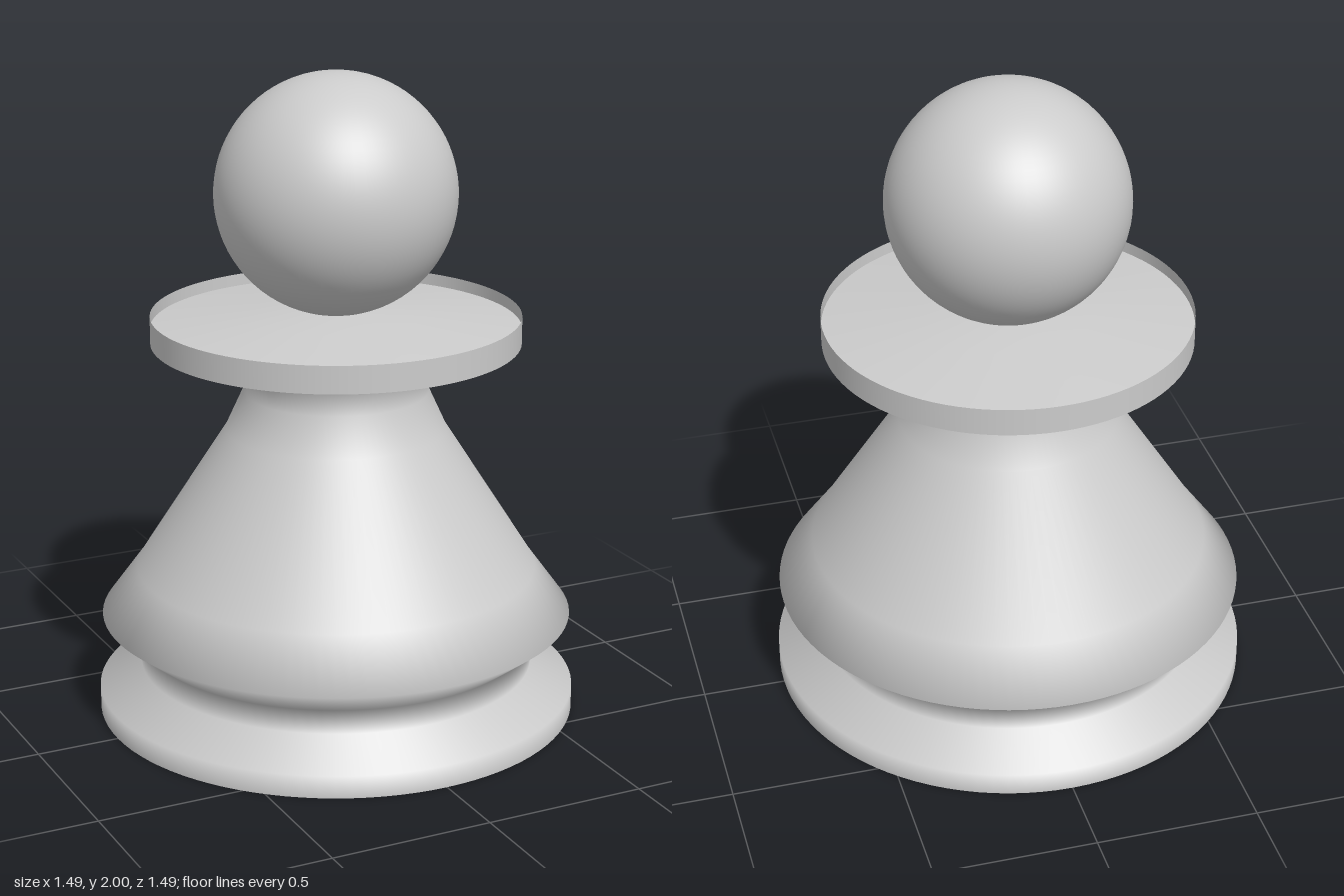
import * as THREE from 'three';

const SEGMENTS = 96;

// Revolve a profile of [radius, height] points, listed from bottom to top
function turned(name, profile, side = THREE.FrontSide) {
  const points = profile.map(([r, y]) => new THREE.Vector2(r, y));
  const mesh = new THREE.Mesh(
    new THREE.LatheGeometry(points, SEGMENTS),
    new THREE.MeshStandardMaterial({ color: 0xcccccc, side })
  );
  mesh.name = name;
  return mesh;
}

export function createModel() {
  const group = new THREE.Group();
  group.name = 'pawn';

  // Flat underside
  group.add(turned('baseUnderside', [[0, 0], [0.743, 0]]));

  // Foot, groove, flared skirt, neck and the hollow below the collar
  group.add(turned('body', [
    [0.743, 0], [0.743, 0.07], [0.612, 0.145], [0.612, 0.22],
    [0.73, 0.31], [0.62, 0.46], [0.34, 0.9], [0.285, 1.02],
    [0.285, 1.085], [0.31, 1.115], [0.41, 1.18], [0.565, 1.215],
  ]));

  // Thin upright band around the collar
  group.add(turned('collarRim', [[0.565, 1.175], [0.565, 1.26]], THREE.DoubleSide));

  // Shallow domed top inside the band
  group.add(turned('collarTop', [[0.565, 1.222], [0.26, 1.26], [0.1, 1.275], [0, 1.277]]));

  // Ball head
  const head = new THREE.Mesh(
    new THREE.SphereGeometry(0.368, 64, 40),
    new THREE.MeshStandardMaterial({ color: 0xcccccc })
  );
  head.name = 'head';
  head.position.y = 1.632;
  group.add(head);

  return group;
}
